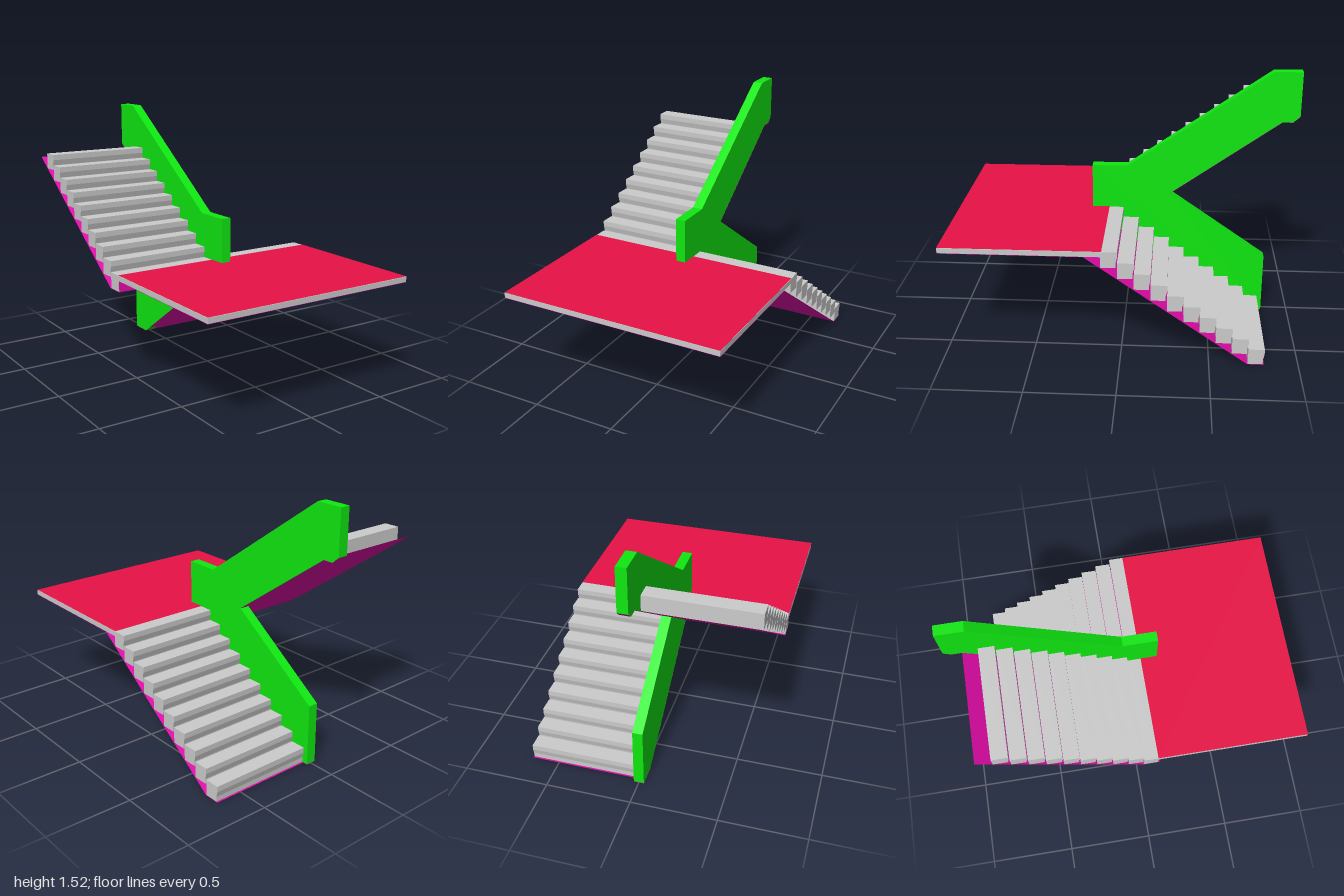
import * as THREE from 'three';

const RISE = 0.0644, RUN = 0.0917, FLOOR = 0.675, STEPS = 10;
const HALF = 0.66, WALL = 0.03;

const grey = new THREE.MeshStandardMaterial({ color: 0xcccccc, flatShading: true });
const green = new THREE.MeshStandardMaterial({ color: 0x0fe810, flatShading: true });
const magenta = new THREE.MeshStandardMaterial({ color: 0xe80cae, flatShading: true, side: THREE.DoubleSide });
const red = new THREE.MeshStandardMaterial({ color: 0xe81145, flatShading: true, side: THREE.DoubleSide });

function named(name, geometry, material) {
  const mesh = new THREE.Mesh(geometry, material);
  mesh.name = name;
  return mesh;
}

// Side profile of [z, y] points, extruded from x0 to x1
function profile(name, points, x0, x1, material) {
  const shape = new THREE.Shape(points.map(([z, y]) => new THREE.Vector2(z, y)));
  const geometry = new THREE.ExtrudeGeometry(shape, { depth: x1 - x0, bevelEnabled: false });
  geometry.rotateY(-Math.PI / 2).translate(x1, 0, 0);
  return named(name, geometry, material);
}

// Thin sheet following a path of [z, y] points, from x0 to x1
function sheet(name, path, x0, x1, material) {
  const positions = [];
  for (let i = 0; i < path.length - 1; i++) {
    const [z0, y0] = path[i], [z1, y1] = path[i + 1];
    positions.push(x0, y0, z0, x0, y1, z1, x1, y1, z1);
    positions.push(x0, y0, z0, x1, y1, z1, x1, y0, z0);
  }
  const geometry = new THREE.BufferGeometry();
  geometry.setAttribute('position', new THREE.Float32BufferAttribute(positions, 3));
  geometry.computeVertexNormals();
  return named(name, geometry, material);
}

// Flight of steps: dir is +1 for risers facing front, -1 for risers facing back
function flight(name, dir, x0, x1) {
  const group = new THREE.Group();
  group.name = name;
  for (let k = 0; k < STEPS; k++) {
    const top = FLOOR + dir * k * RISE;
    const nose = (dir > 0 ? 0.107 : 0.015) - k * RUN;
    const back = nose - dir * RUN;
    const riser = nose - dir * 0.008;
    group.add(profile('step', [
      [nose, top], [nose, top - 0.032], [riser, top - RISE],
      [riser, top - 0.093], [back, top - 0.093], [back, top],
    ], x0, x1, grey));
  }
  return group;
}

export function createModel() {
  const model = new THREE.Group();
  model.name = 'staircase';

  // Landing slab with its coloured floor
  const slab = named('landing', new THREE.BoxGeometry(2 * HALF, 0.03, 0.9), grey);
  slab.position.set(0, 0.66, 0.55);
  model.add(slab);
  model.add(sheet('landingFloor', [[0.1, 0.677], [1, 0.677]], -HALF, HALF, red));

  // Two flights, side by side
  model.add(flight('upperFlight', 1, -HALF, 0));
  model.add(flight('lowerFlight', -1, 0, HALF));

  // Central wall between the flights
  model.add(profile('centralWall', [
    [0.2, 0.94], [-0.01, 0.94], [-0.84, 1.52], [-1, 1.52], [-1, 1.26], [-0.96, 1.225],
    [-0.9, 1.225], [-0.26, 0.77], [-0.84, 0.365], [-0.84, 0.002], [-0.712, 0.002], [0.2, 0.645],
  ], -WALL, WALL, green));

  // Soffits below the landing, the flights and the end of the wall
  model.add(sheet('lowerSoffit',
    [[1, 0.643], [0.2, 0.643], [-0.715, 0], [-0.84, 0]], -WALL, WALL, magenta));
  model.add(sheet('lowerSoffit',
    [[1, 0.643], [0.2, 0.643], [-0.715, 0], [-0.81, 0]], WALL, HALF, magenta));
  model.add(sheet('upperSoffit',
    [[1, 0.643], [0.109, 0.643], [0.109, 0.58], [0.005, 0.58], [-0.9, 1.223]], -HALF, -WALL, magenta));
  model.add(sheet('wallSoffit',
    [[-0.26, 0.768], [-0.9, 1.223], [-0.96, 1.223], [-1, 1.258]], -WALL, WALL, magenta));

  return model;
}
